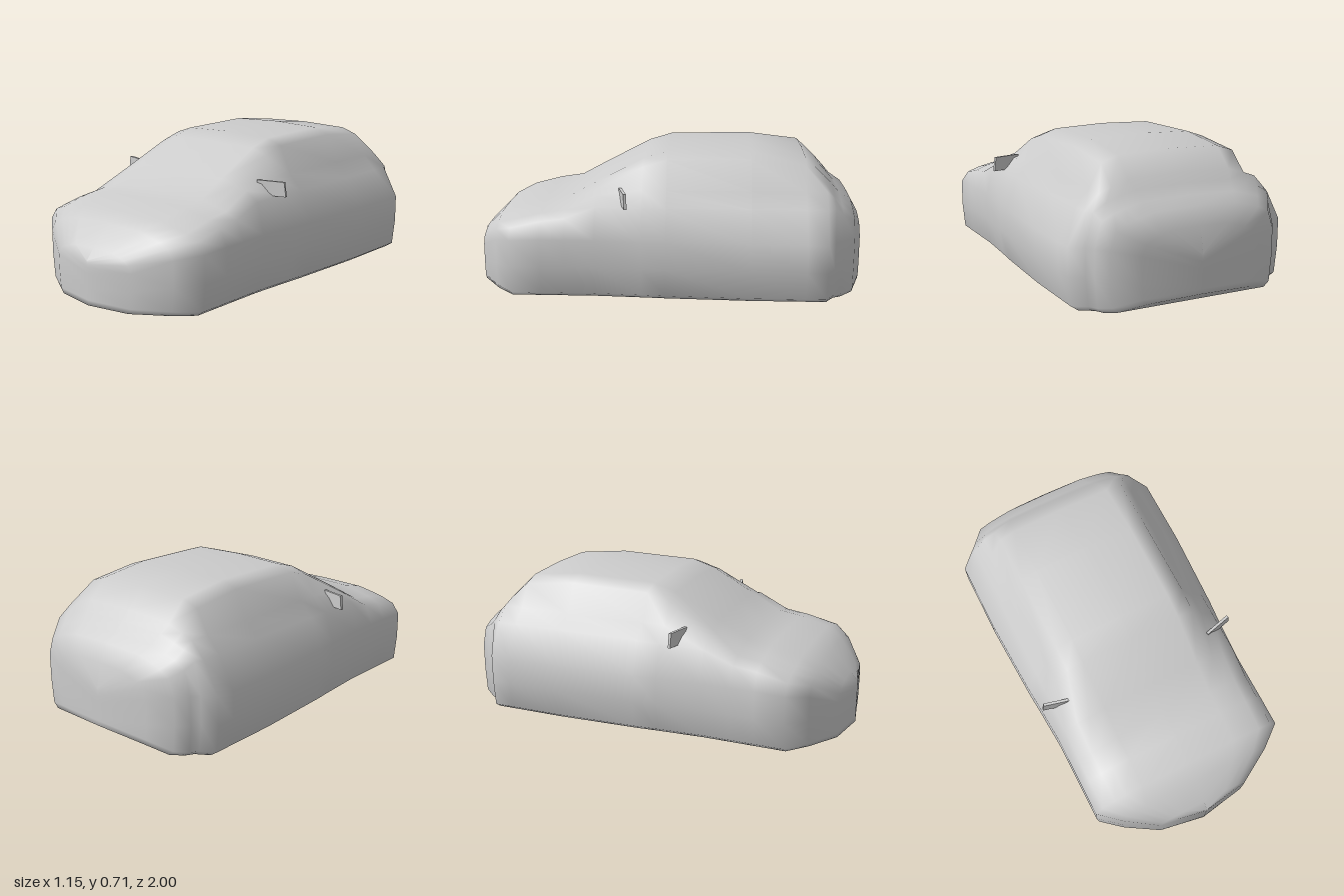
import * as THREE from 'three';
import { mergeVertices } from 'three/addons/utils/BufferGeometryUtils.js';

// Stations from nose to tail: z, half width, roof height, floor height
const STATIONS = [
  [1, 0, .22, 0], [.96, .25, .27, 0], [.86, .42, .37, 0], [.77, .53, .41, 0],
  [.62, .53, .45, 0], [.5, .53, .468, 0], [.35, .53, .55, 0], [.12, .545, .67, 0],
  [0, .555, .707, 0], [-.42, .575, .714, 0], [-.69, .575, .682, 0], [-.79, .575, .585, 0],
  [-.83, .505, .542, 0], [-.87, .48, .495, 0], [-.93, .435, .456, .013],
  [-.975, .3, .375, .045], [-1, 0, .25, .06],
];

// Closed ring: floor, sill, flank, shoulder, window base, roof edge, roof, then mirrored
function ring([z, w, top, floor]) {
  const flank = Math.min(.3, top * .72);
  const half = [
    [0, floor],
    [w * .91, floor],
    [w * .975, floor + .025],
    [w, flank * .54],
    [w, flank],
    [Math.min(.49, w * .93), Math.min(.455, top * .85)],
    [Math.min(.42, w * .8), Math.min(.53, top * .91)],
    [Math.min(.357, w * .68), top * .945],
    [Math.min(.27, w * .5), top * .987],
    [0, top],
  ];
  const mirrored = half.slice(1, -1).reverse().map(([x, y]) => [-x, y]);
  return half.concat(mirrored).map(([x, y]) => [x, y, z]);
}

// Skins consecutive rings with smooth normals
function loft(rings) {
  const n = rings[0].length, index = [];
  for (let s = 0; s < rings.length - 1; s++) {
    for (let i = 0; i < n; i++) {
      const a = s * n + i, b = s * n + (i + 1) % n;
      index.push(a, a + n, b, b, a + n, b + n);
    }
  }
  let geometry = new THREE.BufferGeometry();
  geometry.setAttribute('position', new THREE.Float32BufferAttribute(rings.flat(2), 3));
  geometry.setIndex(index);
  geometry = mergeVertices(geometry, 1e-4);
  geometry.computeVertexNormals();
  return geometry;
}

export function createModel() {
  const car = new THREE.Group();
  car.name = 'car';
  const material = new THREE.MeshStandardMaterial({ color: 0xcccccc, side: THREE.DoubleSide });

  // One-piece body shell with closed floor
  const body = new THREE.Mesh(loft(STATIONS.map(ring)), material);
  body.name = 'body';
  car.add(body);

  // Door mirrors: thin plates swept back, slightly wider at the bottom
  for (const side of [1, -1]) {
    const plate = new THREE.BoxGeometry(.145, .073, .014);
    const p = plate.attributes.position;
    for (let i = 0; i < p.count; i++) {
      if (p.getX(i) * side > 0 && p.getY(i) < 0) p.setX(i, p.getX(i) + side * .01);
    }
    plate.computeVertexNormals();
    const mirror = new THREE.Mesh(plate, material);
    mirror.name = side > 0 ? 'leftMirror' : 'rightMirror';
    mirror.position.set(side * .463, .498, .213);
    mirror.rotation.y = side * .25;
    car.add(mirror);
  }
  return car;
}
